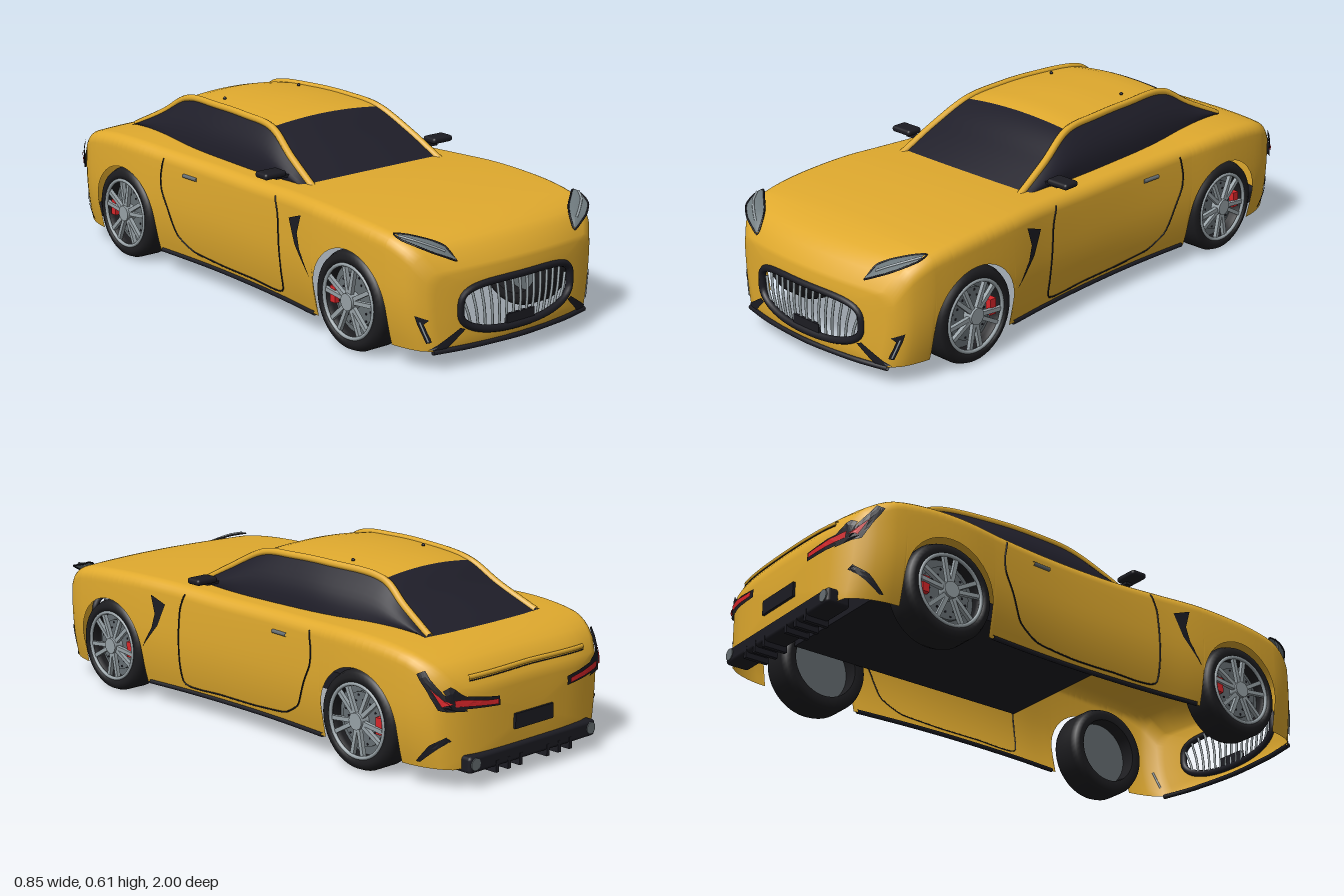
import * as THREE from 'three';
import { mergeGeometries, mergeVertices } from 'three/addons/utils/BufferGeometryUtils.js';
import { RoundedBoxGeometry } from 'three/addons/geometries/RoundedBoxGeometry.js';

const V = (x, y, z) => new THREE.Vector3(x, y, z);
const material = (name, color) => {
  const m = new THREE.MeshStandardMaterial({ color, side: THREE.DoubleSide });
  m.name = name;
  return m;
};

// Surface through rows of points
function grid(rows) {
  const n = rows[0].length, index = [];
  for (let i = 0; i < rows.length - 1; i++) for (let j = 0; j < n - 1; j++) {
    const a = i * n + j;
    index.push(a, a + 1, a + n, a + 1, a + n + 1, a + n);
  }
  const g = new THREE.BufferGeometry().setFromPoints(rows.flat());
  g.setIndex(index);
  g.computeVertexNormals();
  return g;
}

// Body stations: z, then half width and top height
const STATIONS = [
  [-0.98, 0.355, 0.33], [-0.96, 0.375, 0.365], [-0.93, 0.391, 0.393], [-0.88, 0.407, 0.418], [-0.8, 0.418, 0.438],
  [-0.68, 0.424, 0.452], [-0.55, 0.422, 0.455], [-0.4, 0.408, 0.45], [-0.15, 0.394, 0.446], [0.1, 0.396, 0.446],
  [0.3, 0.407, 0.453], [0.45, 0.421, 0.456], [0.62, 0.425, 0.451], [0.72, 0.422, 0.444], [0.8, 0.415, 0.434],
  [0.88, 0.404, 0.415], [0.93, 0.392, 0.394], [0.965, 0.376, 0.364], [0.985, 0.355, 0.328]];
const spline = new THREE.CubicInterpolant(STATIONS.map(s => s[0]), STATIONS.flatMap(s => s.slice(1)), 2);
const AXLES = [0.638, -0.615], ARCH = 0.174, SILL = 0.065, AXLE_Y = 0.165;

// The nose and tail are bowed in plan
function bend(z, x) {
  const t = THREE.MathUtils.clamp((Math.abs(z) - 0.82) / 0.16, 0, 1), r = Math.abs(x) / 0.42;
  return z > 0 ? z - 0.068 * t * r * r : z + 0.07 * t * r ** 4;
}

function section(z) {
  const [w, top] = spline.evaluate(z);
  let y0 = SILL;
  for (const c of AXLES) {
    const d = Math.abs(z - c);
    if (d <= ARCH) y0 = AXLE_Y + Math.sqrt(ARCH * ARCH - d * d);
  }
  const r = 0.042, crown = 0.008, yE = top - crown, yS = yE - r, half = [];
  const wide = y => w * (1 - (y < 0.27 ? 0.07 * ((0.27 - y) / 0.2) ** 2 : 0.015 * ((y - 0.27) / 0.17) ** 2));
  for (let k = 0; k <= 9; k++) {
    const y = y0 + (yS - y0) * k / 9;
    half.push([wide(y), y]);
  }
  const xE = wide(yS) - r;
  for (let k = 1; k <= 6; k++) {
    const a = k * Math.PI / 12;
    half.push([xE + r * Math.cos(a), yS + r * Math.sin(a)]);
  }
  for (let k = 1; k <= 8; k++) {
    const u = 1 - k / 8;
    half.push([xE * u, yE + crown * (1 - u * u)]);
  }
  const full = [...half, ...half.slice(0, -1).reverse().map(([x, y]) => [-x, y])];
  return full.map(([x, y]) => V(x, y, bend(z, x)));
}

// Outline of the grille opening in the direction dx, dy from its centre
const GY = 0.182;
function grilleEdge(dx, dy) {
  const n = dy > 0 ? 4 : 2.4;
  const k = (Math.abs(dx / 0.238) ** n + Math.abs(dy / 0.083) ** n) ** (-1 / n);
  return [dx * k, GY + dy * k];
}

function bodyGeometry() {
  const zs = [];
  for (let k = 0; k <= 64; k++) zs.push(-0.98 + 1.965 * k / 64);
  for (const c of AXLES) {
    for (let k = 0; k <= 20; k++) zs.push(c + (ARCH - 1e-5) * Math.cos(k * Math.PI / 20));
    zs.push(c - ARCH - 0.002, c + ARCH + 0.002);
  }
  zs.sort((a, b) => a - b);
  const shell = grid(zs.map(section));
  const closed = z => {
    const ring = section(z), a = ring[ring.length - 1], b = ring[0];
    for (let k = 1; k <= 10; k++) {
      const x = a.x + (b.x - a.x) * k / 10;
      ring.push(V(x, SILL, bend(z, x)));
    }
    return ring;
  };
  const cap = (z, inner, ks) => grid(ks.map(k => closed(z).map(p => {
    const [ix, iy] = inner(p), x = p.x + (ix - p.x) * k;
    return V(x, p.y + (iy - p.y) * k, bend(z, x) + Math.sign(z) * 0.006 * Math.sin(k * Math.PI / 2));
  })));
  const front = cap(0.985, p => grilleEdge(p.x, p.y - GY), [0, 0.25, 0.5, 0.75, 1]);
  const rear = cap(-0.98, () => [0, 0.2], [1, 0.75, 0.5, 0.25, 0]);
  const g = mergeVertices(mergeGeometries([shell, front, rear].map(p => p.deleteAttribute('normal'))), 1e-5);
  g.computeVertexNormals();
  return g;
}

export function createModel() {
  const car = new THREE.Group();
  car.name = 'car';
  const paint = material('yellow paint', 0xe0aa2e), glass = material('dark glass', 0x1f1e29);
  const trim = material('black trim', 0x1c1c23), rubber = material('tyre rubber', 0x1d1d20);
  const silver = material('silver', 0x98a2a7), steel = material('brake steel', 0x666e72);
  const lens = material('lamp lens', 0x6d787c), red = material('red', 0xd8262a);
  const add = (name, geo, mat, x = 0, y = 0, z = 0, parent = car) => {
    const m = new THREE.Mesh(geo, mat);
    m.name = name;
    m.position.set(x, y, z);
    parent.add(m);
    return m;
  };
  const box = (w, h, d) => new THREE.BoxGeometry(w, h, d);
  const tube = (pts, r, closed = false, n = 48) =>
    new THREE.TubeGeometry(new THREE.CatmullRomCurve3(pts, closed, 'catmullrom', 0.4), n, r, 8, closed);
  const body = add('bodyShell', bodyGeometry(), paint);

  // Lay flat details on the body: front and back take x, y; side takes z, y
  const ray = new THREE.Raycaster();
  function project(view, s, u, v, lift) {
    for (let k = 0; k < 25; k++, u *= 0.985, v -= 0.001) {
      const from = view === 'side' ? V(2 * s, v, u) : V(s * u, v, view === 'front' ? 2 : -2);
      const dir = view === 'side' ? V(-s, 0, 0) : V(0, 0, view === 'front' ? -1 : 1);
      ray.set(from, dir);
      const hit = ray.intersectObject(body)[0];
      if (!hit) continue;
      const n = hit.face.normal.clone();
      return hit.point.addScaledVector(n, n.dot(dir) > 0 ? -lift : lift);
    }
    return V(s * 0.35, v, 0);
  }
  function patch(name, view, s, pts, mat, lift = 0.004) {
    const flat = new THREE.ShapeGeometry(new THREE.Shape(pts.map(p => new THREE.Vector2(...p)))).toNonIndexed();
    const p = flat.attributes.position, out = [];
    const split = (a, b, c, depth) => {
      if (!depth) return out.push(...[a, b, c].map(q => project(view, s, q.x, q.y, lift)));
      const ab = a.clone().lerp(b, 0.5), bc = b.clone().lerp(c, 0.5), ca = c.clone().lerp(a, 0.5);
      [[a, ab, ca], [ab, b, bc], [ca, bc, c], [ab, bc, ca]].forEach(t => split(...t, depth - 1));
    };
    for (let i = 0; i < p.count; i += 3) split(...[0, 1, 2].map(k => V(p.getX(i + k), p.getY(i + k), 0)), 2);
    const g = new THREE.BufferGeometry().setFromPoints(out);
    g.computeVertexNormals();
    add(name, g, mat);
  }
  function line(name, view, s, pts, r, mat) {
    const c = new THREE.CatmullRomCurve3(pts.map(([u, v]) => V(u, v, 0)), false, 'catmullrom', 0.25);
    add(name, tube(c.getPoints(36).map(q => project(view, s, q.x, q.y, 0.001)), r, false, 80), mat);
  }

  // Cabin: roof rails, belt line and the surfaces between them
  const rail = new THREE.CatmullRomCurve3([V(0.279, 0.438, 0.295), V(0.262, 0.513, 0.155), V(0.235, 0.58, 0.02),
    V(0.231, 0.592, -0.13), V(0.223, 0.592, -0.3), V(0.203, 0.574, -0.52), V(0.222, 0.51, -0.63), V(0.25, 0.44, -0.77)]);
  const belt = new THREE.CatmullRomCurve3([V(0.292, 0.436, 0.28), V(0.304, 0.436, 0.15), V(0.306, 0.436, 0.02),
    V(0.304, 0.436, -0.15), V(0.301, 0.438, -0.32), V(0.286, 0.438, -0.52), V(0.27, 0.44, -0.66), V(0.252, 0.44, -0.77)]);
  const steps = (a, b, n, f) => Array.from({ length: n + 1 }, (_, i) => f(a + (b - a) * i / n));
  const across = (a, b) => grid(steps(a, b, 14, t => {
    const p = rail.getPoint(t), bow = 0.018 * Math.max(0, 1 - 3.5 * t) - 0.015 * Math.max(0, 3.5 * t - 2.5);
    const crown = 0.018 * Math.sin(Math.PI * t) ** 0.7;
    return steps(-1, 1, 16, u => V(p.x * u, p.y + crown * (1 - u * u), p.z + bow * (1 - u * u)));
  }));
  add('windshield', across(0, 2 / 7), glass);
  add('roof', across(2 / 7, 5 / 7), paint);
  add('rearWindow', across(5 / 7, 1), glass);
  add('cabinTub', box(0.56, 0.065, 0.93), trim, 0, 0.2175, -0.285);

  // Grille
  const nose = x => bend(0.985, x) + 0.006;
  add('grilleFrame', tube(steps(0, 2 * Math.PI * 47 / 48, 47, a => {
    const [x, y] = grilleEdge(0.238 * Math.cos(a), 0.083 * Math.sin(a));
    return V(x, y, nose(x) - 0.003);
  }), 0.0125, true, 96), trim);
  for (let k = -7; k <= 7; k++) {
    const x = k * 0.0315, bx = x * 0.87;
    const top = grilleEdge(x, 0.083 * Math.sqrt(Math.max(0.12, 1 - (x / 0.238) ** 2)))[1];
    const low = GY - 0.083 * (1 - Math.abs(bx / 0.238) ** 2.4) ** (1 / 2.4);
    add('grilleBar', tube([V(x, top, nose(x) - 0.012), V((x + bx) / 2, (top + low) / 2, nose(x) - 0.004),
      V(bx, low, nose(bx) - 0.01)], 0.0045, false, 8), silver);
  }
  add('frontPlate', box(0.12, 0.038, 0.01), trim, 0, 0.122, 0.985);
  add('frontSplitter', tube([-0.33, -0.2, 0, 0.2, 0.33].map(x => V(x, 0.063, nose(x) - 0.004)), 0.009), trim);

  // Tail
  add('rearPlate', box(0.18, 0.05, 0.012), trim, 0, 0.18, -0.988);
  line('deckLip', 'back', 1, [[-0.27, 0.35], [0, 0.356], [0.27, 0.35]], 0.008, paint);
  line('deckSeam', 'back', 1, [[-0.27, 0.34], [0, 0.346], [0.27, 0.34]], 0.002, trim);
  add('diffuser', new RoundedBoxGeometry(0.6, 0.055, 0.085, 2, 0.012), trim, 0, 0.08, -0.955);

  // Wheel parts, with the outer face towards +y before turning
  const tyre = new THREE.LatheGeometry([[0.119, -0.06], [0.14, -0.064], [0.157, -0.057], [0.165, -0.038], [0.165, 0.038],
    [0.157, 0.057], [0.14, 0.064], [0.123, 0.06], [0.119, 0.03], [0.119, -0.06]].map(p => new THREE.Vector2(...p)), 48);
  const disc = (r, h) => new THREE.CylinderGeometry(r, r, h, 32);
  const rimRing = new THREE.TorusGeometry(0.12, 0.0065, 8, 48).rotateX(Math.PI / 2);
  function wheel(s, z) {
    const w = new THREE.Group();
    w.name = 'wheel';
    w.position.set(s * 0.354, AXLE_Y, z);
    w.rotation.z = -s * Math.PI / 2;
    car.add(w);
    add('tyre', tyre, rubber, 0, 0, 0, w);
    add('rimRing', rimRing, silver, 0, 0.059, 0, w);
    add('rimBack', disc(0.12, 0.02), steel, 0, 0.005, 0, w);
    add('brakeDisc', disc(0.09, 0.012), steel, 0, 0.026, 0, w);
    add('hub', disc(0.028, 0.042), silver, 0, 0.047, 0, w);
    for (let k = 0; k < 10; k++) {
      const a = Math.floor(k / 2) * Math.PI * 0.4 + (k % 2 ? 0.2 : -0.2);
      const spoke = add('spoke', box(0.1, 0.014, 0.014), silver, 0.07 * Math.cos(a), 0.053, -0.07 * Math.sin(a), w);
      spoke.rotation.y = a;
    }
    for (let k = 0; k < 24; k++) {
      const a = k * Math.PI / 12, r = k % 2 ? 0.08 : 0.064;
      add('discHole', new THREE.CylinderGeometry(0.004, 0.004, 0.004, 8), trim, r * Math.cos(a), 0.032, r * Math.sin(a), w);
    }
    add('brakeCaliper', box(0.055, 0.026, 0.026), red, 0, 0.038, -0.088, w);
  }

  for (const s of [1, -1]) {
    AXLES.forEach(z => wheel(s, z));
    const flip = p => V(p.x * s, p.y, p.z);
    add('roofRail', tube(steps(0, 1, 28, t => flip(rail.getPoint(t))), 0.0125, false, 64), paint);
    add('sideWindow', grid(steps(0, 1, 35, t => steps(0, 1, 8, v => {
      const p = belt.getPoint(t).lerp(rail.getPoint(t), v);
      p.x += 0.02 * Math.sin(Math.PI * v);
      return flip(p);
    }))), glass);
    add('roofStud', new THREE.SphereGeometry(0.006, 8, 6), trim, s * 0.165, 0.602, -0.34);

    // Door mirror
    add('mirror', new RoundedBoxGeometry(0.088, 0.022, 0.062, 3, 0.01), trim, s * 0.368, 0.476, 0.185);
    add('mirrorArm', box(0.07, 0.01, 0.025), trim, s * 0.32, 0.461, 0.185);

    // Flank details
    line('doorSeam', 'side', s, [[0.245, 0.42], [0.267, 0.35], [0.27, 0.1], [0.09, 0.092], [-0.08, 0.092], [-0.24, 0.105],
      [-0.32, 0.15], [-0.36, 0.24], [-0.39, 0.3], [-0.395, 0.35], [-0.382, 0.415]], 0.0027, trim);
    line('doorHandle', 'side', s, [[-0.2, 0.376], [-0.27, 0.376]], 0.007, steel);
    patch('fenderVent', 'side', s, [[0.405, 0.395], [0.335, 0.37], [0.372, 0.29], [0.452, 0.2], [0.4, 0.28], [0.385, 0.33]], trim);
    line('sill', 'side', s, [[0.445, 0.069], [0, 0.069], [-0.425, 0.069]], 0.008, trim);
    patch('rearVent', 'side', s, [[-0.85, 0.085], [-0.865, 0.085], [-0.95, 0.16], [-0.945, 0.175], [-0.9, 0.145]], trim);

    // Headlamp: a leaf between an upper and a lower edge, with a dark rim
    const upper = [V(0.388, 0.424, 0.82), V(0.35, 0.419, 0.848), V(0.3, 0.403, 0.888), V(0.27, 0.386, 0.922), V(0.256, 0.35, 0.955)];
    const lower = [V(0.392, 0.414, 0.86), V(0.37, 0.4, 0.908), V(0.332, 0.38, 0.938), V(0.295, 0.363, 0.952), V(0.258, 0.346, 0.962)];
    const between = k => upper.map((p, i) => flip(p.clone().lerp(lower[i], k)).add(V(0, 0.005 + 0.02 * k * (1 - k), 0.003)));
    add('headlamp', grid([0, 0.25, 0.5, 0.75, 1].map(between)), lens);
    add('headlampRim', tube([...between(0), ...between(1).reverse()], 0.003, true, 64), trim);
    add('headlampStrip', tube(between(0.6).slice(0, 4), 0.004, false, 24), silver);

    // Front vents and tail lamps
    patch('frontVent', 'front', s, [[0.376, 0.185], [0.345, 0.172], [0.355, 0.158], [0.334, 0.098], [0.345, 0.094], [0.368, 0.155]], trim);
    line('ventBlade', 'front', s, [[0.364, 0.165], [0.352, 0.13], [0.341, 0.1]], 0.004, silver);
    patch('cornerDuct', 'front', s, [[0.222, 0.125], [0.24, 0.132], [0.338, 0.072], [0.285, 0.07], [0.25, 0.1]], trim);
    patch('tailLampCase', 'back', s, [[0.16, 0.248], [0.16, 0.278], [0.29, 0.296], [0.34, 0.33], [0.36, 0.32], [0.335, 0.26]], trim, 0.008);
    patch('tailLampBar', 'back', s, [[0.17, 0.255], [0.17, 0.27], [0.3, 0.289], [0.335, 0.292], [0.33, 0.27]], red, 0.013);
    patch('tailLampSide', 'side', s, [[-0.865, 0.37], [-0.885, 0.378], [-0.955, 0.285], [-0.965, 0.25], [-0.925, 0.262], [-0.9, 0.315]], trim, 0.01);
    patch('tailLampSideBar', 'side', s, [[-0.905, 0.33], [-0.95, 0.28], [-0.935, 0.272]], red, 0.014);
    add('exhaust', disc(0.02, 0.06), steel, s * 0.275, 0.082, -0.97).rotation.x = Math.PI / 2;
    for (const x of [0.065, 0.12, 0.175]) add('diffuserFin', box(0.014, 0.04, 0.085), trim, s * x, 0.054, -0.956);
  }
  return car;
}
